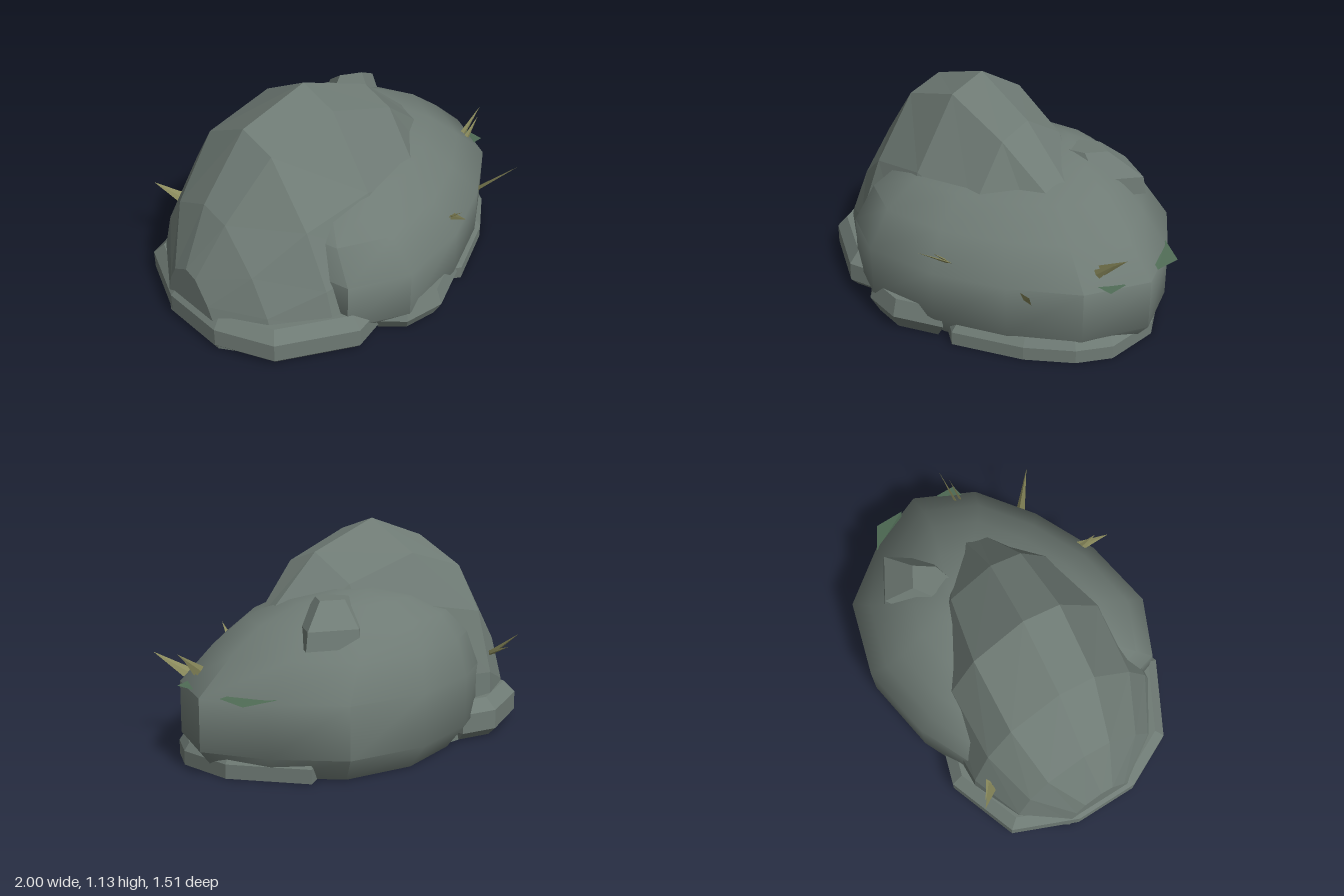
import * as THREE from 'three';
import { toCreasedNormals } from 'three/addons/utils/BufferGeometryUtils.js';

const stone = new THREE.MeshStandardMaterial({ color: 0x6f7b75 });
const facetedStone = new THREE.MeshStandardMaterial({ color: 0x6f7b75, flatShading: true });
const dryGrass = new THREE.MeshStandardMaterial({ color: 0x8a8a5c, flatShading: true, side: THREE.DoubleSide });
const leafGreen = new THREE.MeshStandardMaterial({ color: 0x4f6b55, flatShading: true, side: THREE.DoubleSide });

// Closed skin over a stack of equal-length rings of [x, y, z] points
function loft(rings) {
  const n = rings[0].length, last = rings.length - 1;
  const positions = rings.flat(2), index = [];
  rings.slice(1).forEach((_, j) => {
    for (let i = 0; i < n; i++) {
      const a = j * n + i, b = j * n + (i + 1) % n;
      index.push(a, a + n, b, b, a + n, b + n);
    }
  });
  [0, last].forEach((j, end) => {
    const centre = [0, 1, 2].map(k => rings[j].reduce((s, p) => s + p[k], 0) / n);
    const c = positions.length / 3;
    positions.push(...centre);
    for (let i = 0; i < n; i++) {
      const a = j * n + i, b = j * n + (i + 1) % n;
      index.push(c, end ? b : a, end ? a : b);
    }
  });
  const g = new THREE.BufferGeometry();
  g.setAttribute('position', new THREE.Float32BufferAttribute(positions, 3));
  g.setIndex(index);
  g.computeVertexNormals();
  return g;
}

// Rings of one [x, z] outline, each level being [y, scale, centreX, centreZ]
function stack(outline, levels, ox, oz) {
  return loft(levels.map(([y, s, cx = ox, cz = oz]) =>
    outline.map(([x, z]) => [cx + s * (x - ox), y, cz + s * (z - oz)])));
}

export function createModel() {
  const group = new THREE.Group();
  const add = (name, geometry, material) => {
    const mesh = new THREE.Mesh(geometry, material);
    mesh.name = name;
    group.add(mesh);
    return mesh;
  };

  // Low rounded boulder
  const plan = [[1, -0.04], [0.85, 0.28], [0.55, 0.5], [0.2, 0.66], [-0.2, 0.72], [-0.5, 0.58],
    [-0.65, 0], [-0.5, -0.55], [-0.2, -0.69], [0.22, -0.76], [0.62, -0.65], [0.86, -0.35]];
  const round = stack(plan, [[0, 0.88], [0.12, 1], [0.38, 1], [0.55, 0.86, 0.09, -0.045],
    [0.68, 0.69, 0.07, -0.08], [0.77, 0.42, 0.1, -0.15], [0.82, 0.14, 0.14, -0.22]], 0.15, -0.02);
  add('roundedBoulder', toCreasedNormals(round, 0.85), stone);

  // Tall faceted boulder, one [z, y] section scaled along x
  const section = [[0.58, 0], [0.6, 0.15], [0.54, 0.38], [0.4, 0.7], [0.15, 1.06], [-0.06, 1.13],
    [-0.34, 0.97], [-0.48, 0.71], [-0.57, 0.35], [-0.58, 0]];
  const slices = [[-0.98, 0.34, 0.34, -0.05], [-0.82, 0.61, 0.74, -0.05], [-0.56, 0.895, 0.97, -0.03],
    [-0.19, 1, 1, 0], [0.19, 0.87, 0.85, 0.04], [0.53, 0.6, 0.45, 0.03]];
  add('tallBoulder', loft(slices.map(([x, h, w, dz]) =>
    section.map(([z, y]) => [x, y * h, z * w + dz]))), facetedStone);

  // Flat broken ledges round the foot
  const sideLedge = [[-0.28, 0.6], [-0.48, 0.65], [-0.86, 0.44], [-1, 0.15], [-1, -0.2],
    [-0.86, -0.54], [-0.48, -0.68], [-0.28, -0.62]];
  add('sideLedge', stack(sideLedge, [[0, 0.94], [0.04, 1], [0.14, 1], [0.2, 0.91]], -0.45, 0), facetedStone);
  const leftLedge = [[0.94, -0.15], [0.94, 0.15], [0.84, 0.31], [0.64, 0.47], [0.3, 0.63],
    [0.1, 0.5], [0.3, -0.3], [0.72, -0.5]];
  add('leftLedge', stack(leftLedge, [[0, 1], [0.07, 1], [0.11, 0.95]], 0.4, 0), facetedStone);
  const frontLedge = [[0.25, 0.64], [0, 0.755], [-0.22, 0.725], [-0.35, 0.6], [0, 0.45]];
  add('frontLedge', stack(frontLedge, [[0, 0.8], [0.08, 1], [0.17, 0.86]], -0.05, 0.55), facetedStone);

  // Angular chip on the rear shoulder
  const chip = [[0.64, -0.4], [0.5, -0.2], [0.3, -0.14], [0.24, -0.4], [0.42, -0.52]];
  add('shoulderChip', stack(chip, [[0.6, 1.08], [0.69, 1], [0.805, 0.5, 0.36, -0.28]], 0.42, -0.33), facetedStone);

  // Thin pointed blades: root, tip, width
  const up = new THREE.Vector3(0, 1, 0);
  const blade = (name, root, tip, width, material) => {
    const a = new THREE.Vector3(...root), dir = new THREE.Vector3(...tip).sub(a);
    const length = dir.length();
    const g = new THREE.ConeGeometry(width / 2, length, 4).scale(1, 1, 0.25).translate(0, length / 2, 0);
    const mesh = add(name, g, material);
    mesh.position.copy(a);
    mesh.quaternion.setFromUnitVectors(up, dir.normalize());
  };
  [
    [[0.24, 0.42, 0.57], [0.18, 0.52, 0.73], 0.06],
    [[0.22, 0.43, 0.58], [0.22, 0.51, 0.67], 0.05],
    [[0.61, 0.32, 0.43], [0.78, 0.47, 0.58], 0.09],
    [[0.82, 0.44, 0.14], [0.98, 0.56, 0.13], 0.06],
    [[0.83, 0.44, 0.17], [0.93, 0.53, 0.16], 0.05],
    [[-0.65, 0.4, -0.53], [-0.75, 0.5, -0.63], 0.06],
    [[-0.62, 0.4, -0.53], [-0.7, 0.43, -0.6], 0.05],
  ].forEach(([root, tip, width]) => blade('grassBlade', root, tip, width, dryGrass));

  // Small flat leaves tucked under the left edge
  const leaf = (points) => {
    const g = new THREE.BufferGeometry();
    g.setAttribute('position', new THREE.Float32BufferAttribute(points.flat(), 3));
    g.setIndex([0, 1, 2, 0, 2, 3]);
    g.computeVertexNormals();
    add('leaf', g, leafGreen);
  };
  leaf([[0.82, 0.4, -0.38], [0.96, 0.38, -0.3], [0.96, 0.39, -0.14], [0.85, 0.42, -0.2]]);
  leaf([[0.84, 0.4, 0.08], [0.94, 0.39, 0.08], [0.94, 0.39, 0.19], [0.86, 0.4, 0.2]]);

  return group;
}
